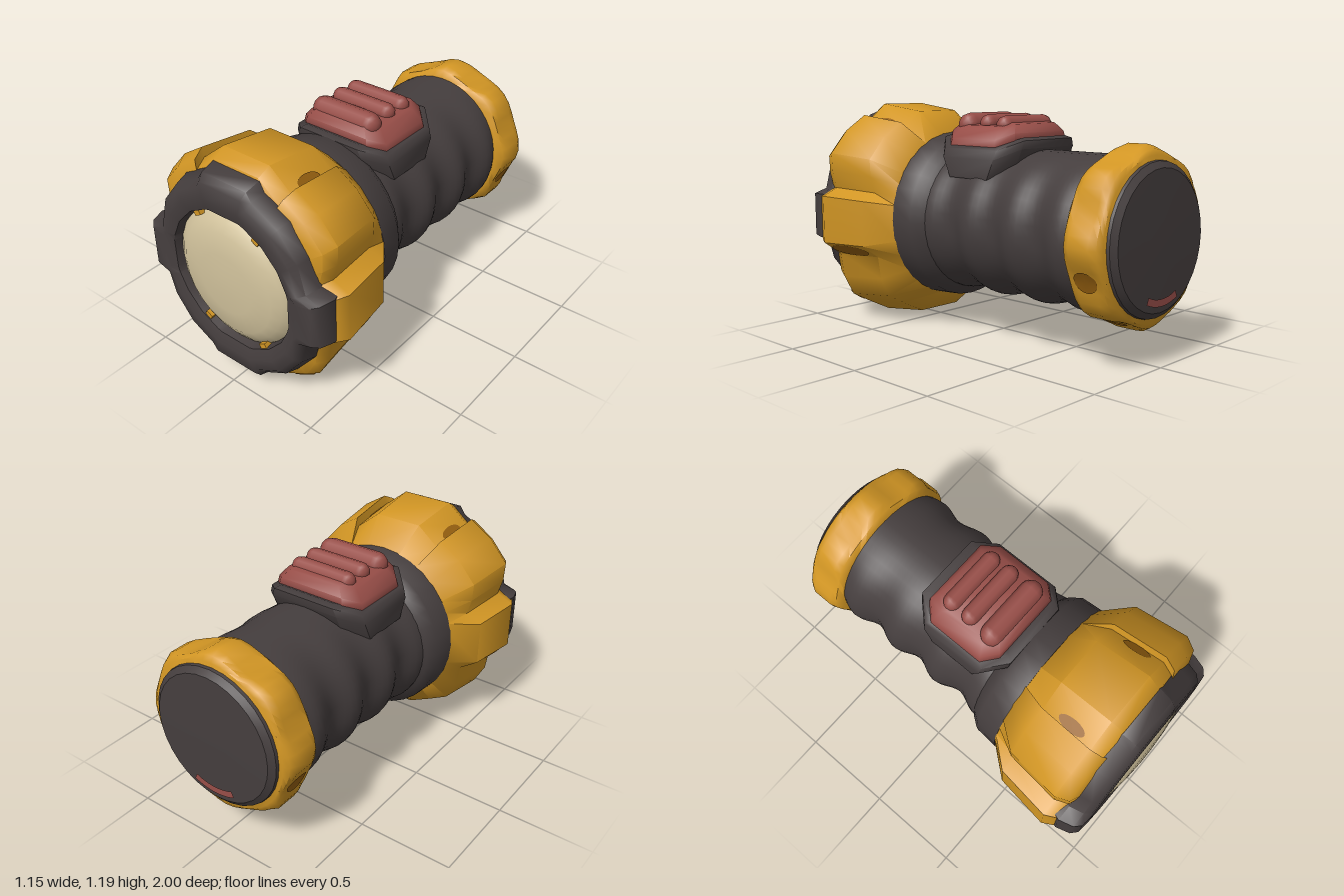
import * as THREE from 'three';
import { toCreasedNormals } from 'three/addons/utils/BufferGeometryUtils.js';

const AXIS_Y = 0.595;

const paint = (name, color) => {
  const m = new THREE.MeshStandardMaterial({ color });
  m.name = name;
  return m;
};

// Skin a row of equal-length loops (counter-clockwise, advancing along +z).
function loft(loops, { caps = true, crease = 0.6 } = {}) {
  const n = loops[0].length, pos = [], idx = [];
  loops.forEach(l => l.forEach(p => pos.push(...p)));
  for (let s = 0; s < loops.length - 1; s++) {
    for (let i = 0; i < n; i++) {
      const j = (i + 1) % n, a = s * n + i, b = s * n + j;
      idx.push(a, b, b + n, a, b + n, a + n);
    }
  }
  if (caps) {
    [0, loops.length - 1].forEach((s, end) => {
      const c = pos.length / 3;
      for (let k = 0; k < 3; k++) pos.push(loops[s].reduce((t, p) => t + p[k], 0) / n);
      for (let i = 0; i < n; i++) {
        const a = s * n + i, b = s * n + (i + 1) % n;
        if (end) idx.push(c, a, b); else idx.push(c, b, a);
      }
    });
  }
  const g = new THREE.BufferGeometry();
  g.setAttribute('position', new THREE.Float32BufferAttribute(pos, 3));
  g.setIndex(idx);
  return toCreasedNormals(g, crease);
}

// Loop whose radius follows a rule of the angle.
const ring = (z, radius, n = 32) => Array.from({ length: n }, (_, i) => {
  const a = i / n * Math.PI * 2;
  const r = typeof radius === 'function' ? radius(a) : radius;
  return [r * Math.cos(a), r * Math.sin(a), z];
});

// Right half of an outline, bottom to top, mirrored to a full loop.
const mirrored = half => [...half, ...half.map(([x, y]) => [-x, y]).reverse()];

// Scaled outline, blended towards a circle by t (0 = circle of radius r).
const shaped = (outline, z, scale, t = 1, r = 0) => outline.map(([x, y]) => {
  const k = r / Math.hypot(x, y);
  return [x * (scale * t + k * (1 - t)), y * (scale * t + k * (1 - t)), z];
});

// Thin oval patch laid on a surface given by at(u, v).
function patch(at) {
  const g = new THREE.CircleGeometry(1, 16), p = g.attributes.position;
  for (let i = 0; i < p.count; i++) p.setXYZ(i, ...at(p.getX(i), p.getY(i)));
  g.computeVertexNormals();
  return g;
}

export function createModel() {
  const gold = paint('gold', 0xd29624);
  const brown = paint('dark gold', 0x966010);
  const dark = paint('charcoal', 0x453e3e);
  const red = paint('brick red', 0x984e48);
  const cream = paint('cream', 0xd0c19b);

  const model = new THREE.Group();
  const barrel = new THREE.Group();
  barrel.name = 'barrel';
  barrel.position.y = AXIS_Y;
  model.add(barrel);
  const add = (name, geo, mat, parent = barrel) => {
    const m = new THREE.Mesh(geo, mat);
    m.name = name;
    parent.add(m);
    return m;
  };

  // Head shell with raised panels at the sides and upper corners
  const headOutline = mirrored([
    [0.14, -0.595], [0.28, -0.525], [0.39, -0.465], [0.45, -0.355], [0.47, -0.225],
    [0.577, -0.15], [0.577, 0.105], [0.485, 0.145], [0.51, 0.235], [0.515, 0.335],
    [0.41, 0.455], [0.285, 0.535], [0.275, 0.485], [0.14, 0.595]]);
  add('headShell', loft([
    shaped(headOutline, 0.365, 1, 0, 0.44),
    shaped(headOutline, 0.51, 0.94),
    shaped(headOutline, 0.8, 1),
    shaped(headOutline, 0.865, 0.94),
    shaped(headOutline, 0.89, 0.8),
  ], { crease: 0.85 }), gold);

  // Darker patches in the recesses of the head: outline edge, part of it, z range
  const headScale = z => z < 0.8 ? 0.94 + 0.06 * (z - 0.51) / 0.29 : 1 - 0.06 * (z - 0.8) / 0.065;
  const last = headOutline.length - 1;
  [[4, 0.02, 0.95, 0.525, 0.79], [12, 0, 0.4, 0.59, 0.74], [1, 0, 1, 0.803, 0.862]]
    .forEach(([edge, t0, t1, z0, z1]) => [false, true].forEach(flip => {
      const [a, b] = flip ? [headOutline[last - edge], headOutline[last - edge - 1]]
        : [headOutline[edge], headOutline[edge + 1]];
      add('headRecess', patch((u, v) => {
        const t = t0 + (t1 - t0) * (0.5 + 0.5 * u), z = z0 + (z1 - z0) * (0.5 + 0.5 * v);
        const s = headScale(z) + 0.008;
        const p = [0, 1].map(k => s * (a[k] + (b[k] - a[k]) * t));
        return [p[0], p[1], z];
      }), brown).material.side = THREE.DoubleSide;
    }));

  // Front bezel with four bumps, open in the middle
  const bezelOutline = mirrored([
    [0.14, -0.545], [0.17, -0.505], [0.32, -0.425], [0.43, -0.285], [0.465, -0.155],
    [0.55, -0.13], [0.55, 0.11], [0.47, 0.135], [0.43, 0.285],
    [0.32, 0.425], [0.17, 0.505], [0.14, 0.55]]);
  add('bezel', loft([
    shaped(bezelOutline, 0.82, 0.97),
    shaped(bezelOutline, 0.87, 1),
    shaped(bezelOutline, 0.945, 0.96),
    shaped(bezelOutline, 0.975, 0.9),
    shaped(bezelOutline, 0.982, 0.8, 0.3, 0.42),
    shaped(bezelOutline, 0.965, 1, 0, 0.368),
    shaped(bezelOutline, 0.9, 1, 0, 0.355),
  ], { caps: false, crease: 1 }), dark);

  // Domed lens with a shallow rim
  add('lens', loft([
    ring(0.9, 0.37, 24), ring(0.925, 0.355, 24), ring(0.955, 0.315, 24),
    ring(0.98, 0.27, 24), ring(0.993, 0.16, 24), ring(0.999, 0.05, 24),
  ], { crease: 1 }), cream);
  for (const sx of [-1, 1]) for (const sy of [-1, 1]) {
    const clip = add('lensClip', new THREE.BoxGeometry(0.04, 0.025, 0.04), gold);
    clip.position.set(sx * 0.18, sy * 0.3, 0.94);
    clip.rotation.z = -sx * sy * 0.5;
  }

  // Grip: waves on the sides and underside, plain on top
  const grip = [];
  for (let i = 0; i <= 32; i++) {
    const z = -0.76 + i * 0.03;
    const wave = Math.cos((z + 0.1) / 0.285 * Math.PI * 2);
    grip.push(ring(z, a => {
      const up = Math.max(0, Math.sin(a)), down = Math.max(0, -Math.sin(a));
      const r = 0.366 + 0.024 * wave + down * (0.006 - 0.01 * wave);
      return r * (1 - up) + 0.383 * up;
    }, 40));
  }
  add('grip', loft(grip, { crease: 1 }), dark);

  // Collar behind the head
  add('collar', loft([
    ring(0.17, 0.365), ring(0.205, 0.405), ring(0.25, 0.438), ring(0.375, 0.447),
  ], { crease: 0.7 }), dark);

  // Lobed tail ring with darker patches in its lower dents
  const lobeRadius = (a, r, depth) => r + depth * (Math.cos(8 * a) - 1);
  const lobed = (z, r, depth) => ring(z, a => lobeRadius(a, r, depth), 48);
  add('tailRing', loft([
    lobed(-0.95, 0.39, 0), lobed(-0.935, 0.418, 0.008), lobed(-0.9, 0.438, 0.019),
    lobed(-0.79, 0.438, 0.019), lobed(-0.755, 0.42, 0.008), lobed(-0.735, 0.385, 0),
  ], { crease: 0.8 }), gold);
  [1, 3, 5, 7].forEach(k => add('tailRecess', patch((u, v) => {
    const a = -k * Math.PI / 8 + 0.13 * u, r = lobeRadius(a, 0.443, 0.019);
    return [r * Math.cos(a), r * Math.sin(a), -0.845 + 0.065 * v];
  }), brown));

  // Tail cap with a thin curved mark
  add('tailCap', loft([
    ring(-0.993, 0.1), ring(-0.988, 0.335), ring(-0.965, 0.365), ring(-0.93, 0.372),
  ]), dark);
  const mark = add('tailMark',
    new THREE.RingGeometry(0.268, 0.303, 12, 1, -Math.PI / 2 - 0.42, 0.84), red);
  mark.rotation.y = Math.PI;
  mark.position.z = -0.998;

  // Switch on top; its parts sag towards the sides to follow the barrel
  const thumbSwitch = new THREE.Group();
  thumbSwitch.name = 'switch';
  thumbSwitch.position.z = -0.03;
  model.add(thumbSwitch);
  const octagon = (w, l, y, cut = 0.1) => mirrored([
    [w - cut, -l], [w, -l + cut], [w, l - cut], [w - cut, l],
  ]).map(([x, d]) => [x, d, y - 1.1 * x * x]);
  const upright = loops => loft(loops, { crease: 0.95 }).rotateX(-Math.PI / 2);

  add('switchPad', upright([
    octagon(0.295, 0.23, 0.93), octagon(0.295, 0.275, 1.03), octagon(0.28, 0.28, 1.065),
    octagon(0.26, 0.25, 1.07), octagon(0.24, 0.22, 1.05),
  ]), dark, thumbSwitch);
  add('switchButton', upright([
    octagon(0.25, 0.21, 1.03, 0.07), octagon(0.262, 0.225, 1.07, 0.07),
    octagon(0.255, 0.22, 1.1, 0.07), octagon(0.21, 0.19, 1.13, 0.06),
    octagon(0.19, 0.15, 1.135, 0.05),
  ]), red, thumbSwitch);

  // Three broad thumb ridges across the button
  [[0.135, 1.095, 0.06], [0.0, 1.105, 0.046], [-0.115, 1.1, 0.046]].forEach(([z, y, r]) => {
    const bar = add('switchRidge', new THREE.CapsuleGeometry(r, 0.28, 4, 10), red, thumbSwitch);
    bar.rotation.z = Math.PI / 2;
    bar.position.set(0, y, z);
  });

  return model;
}
